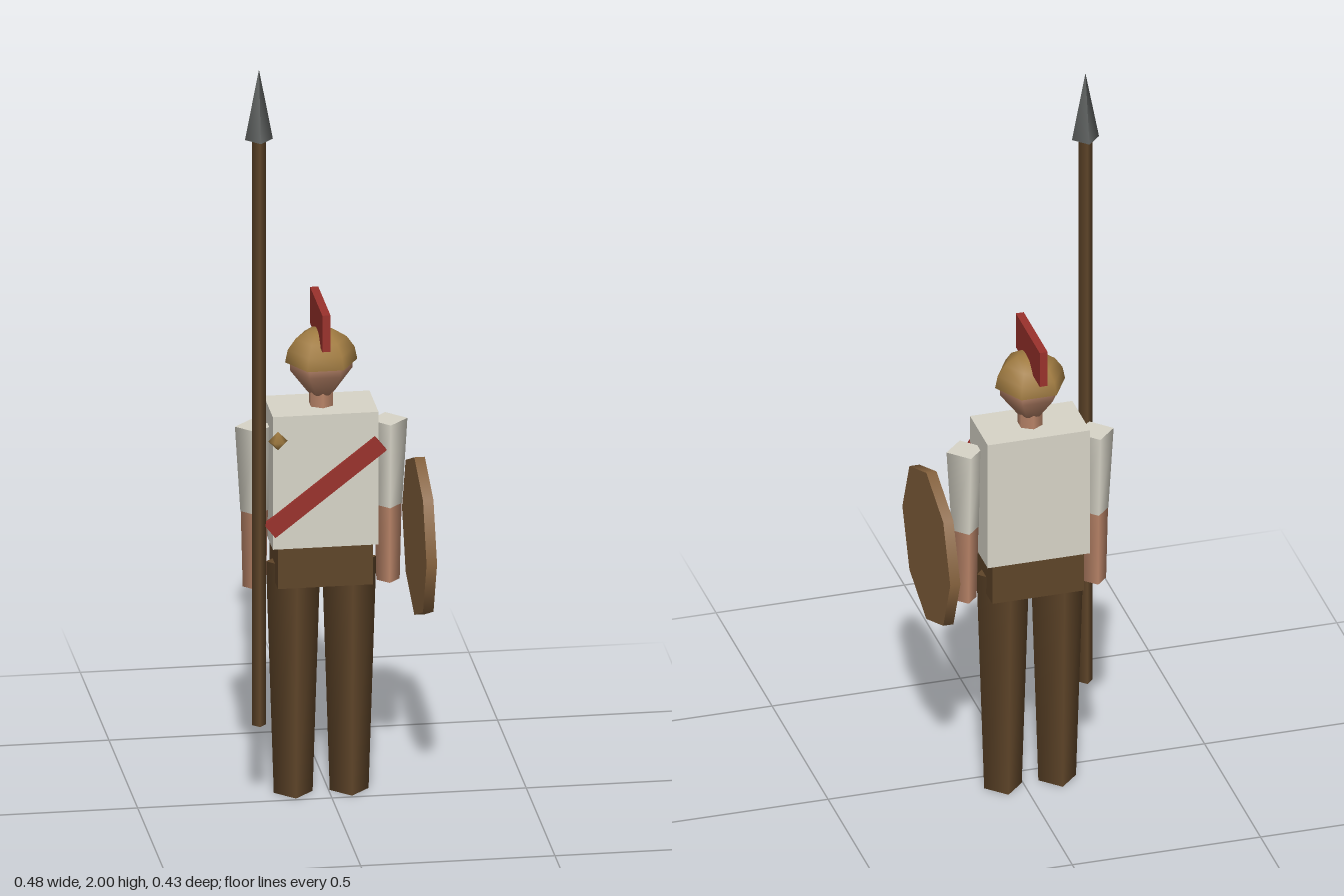
import * as THREE from 'three';

const material = (name, color, side = THREE.FrontSide) => {
  const m = new THREE.MeshStandardMaterial({ color, side });
  m.name = name;
  return m;
};

export function createModel() {
  const group = new THREE.Group();
  group.name = 'spearman';

  const cloth = material('pale cloth', 0xd8d5c8);
  const leather = material('dark brown', 0x5f4529);
  const skin = material('skin', 0xb98468);
  const bronze = material('bronze', 0xa17c42, THREE.DoubleSide);
  const red = material('red', 0x9a322c);
  const wood = material('shield wood', 0x87633e);
  const iron = material('iron', 0x5c5f5e);

  // Centre line of the body, which stands behind and beside the origin
  const X = -0.019, Z = -0.059;

  const add = (name, geometry, mat, x, y, z) => {
    const mesh = new THREE.Mesh(geometry, mat);
    mesh.name = name;
    mesh.position.set(x, y, z);
    group.add(mesh);
    return mesh;
  };
  const box = (name, mat, w, h, d, x, y, z) =>
    add(name, new THREE.BoxGeometry(w, h, d), mat, x, y, z);
  // Tapered limb given by its bottom and top heights
  const limb = (name, mat, rTop, rBottom, y0, y1, x, z, sides = 4) =>
    add(name, new THREE.CylinderGeometry(rTop, rBottom, y1 - y0, sides), mat, x, (y0 + y1) / 2, z);

  // Torso and hips
  box('torso', cloth, 0.272, 0.36, 0.158, X, 0.87, Z);
  box('hips', leather, 0.244, 0.12, 0.146, X, 0.64, Z);

  // Legs and arms
  for (const [side, s] of [['left', 1], ['right', -1]]) {
    limb(side + 'Leg', leather, 0.07, 0.05, 0, 0.63, X + s * 0.072, Z);
    limb(side + 'Sleeve', cloth, 0.05, 0.036, 0.77, 1.0, X + s * 0.172, Z);
    limb(side + 'Forearm', skin, 0.035, 0.03, 0.565, 0.77, X + s * 0.172, Z);
  }

  // Neck and faceted head
  limb('neck', skin, 0.033, 0.033, 1.03, 1.1, X, Z, 6);
  const profile = [[0, 1.08], [0.033, 1.083], [0.08, 1.145], [0.08, 1.185], [0.04, 1.225], [0, 1.23]];
  const head = add('head', new THREE.LatheGeometry(
    profile.map(([r, y]) => new THREE.Vector2(r, y)), 6), skin, X, 0, Z);
  head.rotation.y = Math.PI / 6;

  // Helmet dome and crest
  add('helmet', new THREE.SphereGeometry(0.093, 6, 4, 0, Math.PI * 2, 0, Math.PI / 2),
    bronze, X, 1.168, Z).scale.y = 0.95;
  box('crest', red, 0.021, 0.099, 0.214, X, 1.274, -0.074);

  // Sash across the chest, with a brooch
  box('sash', red, 0.363, 0.047, 0.013, -0.021, 0.855, 0.0235).rotation.z = 0.662;
  add('brooch', new THREE.SphereGeometry(0.025, 6, 2), bronze, -0.142, 0.985, 0.021);

  // Spear
  limb('spearShaft', leather, 0.0185, 0.0185, 0.22, 1.81, -0.192, 0.028);
  add('spearHead', new THREE.ConeGeometry(0.036, 0.19, 4), iron, -0.192, 1.905, 0.028);

  // Eight-sided shield facing sideways
  const shield = add('shield', new THREE.CylinderGeometry(0.214, 0.214, 0.027, 8), wood, 0.2255, 0.7, 0);
  shield.rotation.z = -Math.PI / 2;

  return group;
}
